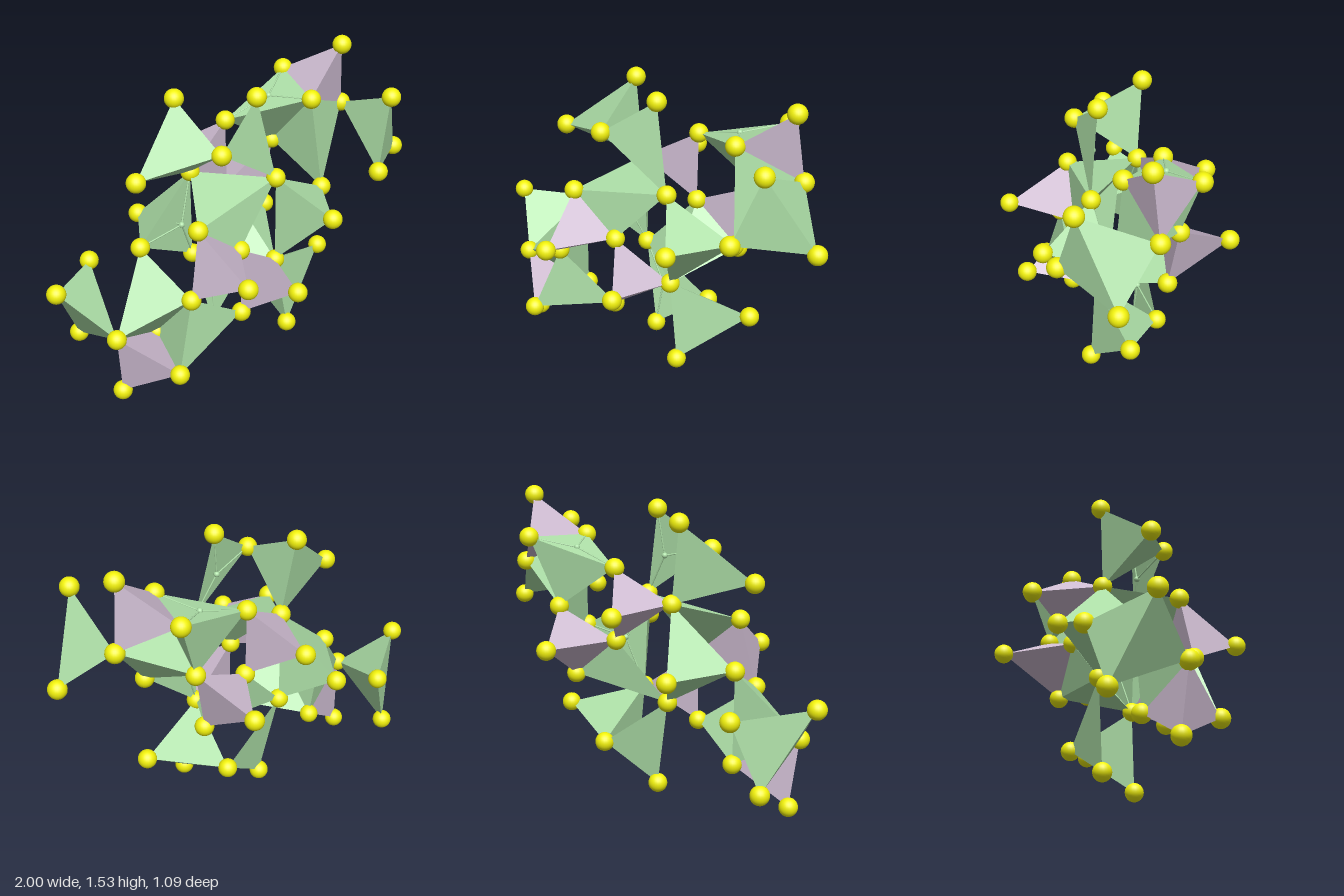
import * as THREE from 'three';
import { ConvexGeometry } from 'three/addons/geometries/ConvexGeometry.js';

// Half of the corner atoms; the other half follows by inversion through the centre
const CENTRE_Y = 0.772;
const ATOMS = {
  a1: [-0.22, 1.43, -0.175], a2: [0.06, 1.45, 0.1], a3: [-0.213, 1.26, 0.167],
  a4: [-0.556, 1.15, -0.043], a5: [-0.16, 1.027, -0.14], a6: [0.122, 1.19, -0.205],
  a7: [0.458, 1.297, 0.06], a8: [0.73, 1.49, -0.012], a9: [0.742, 1.32, 0.333],
  a10: [0.614, 0.972, 0.395], a11: [0.95, 0.917, 0.181], a12: [0.445, 0.97, -0.214],
  a13: [0.145, 1.005, 0.152], a14: [-0.37, 0.918, 0.18], a15: [0.122, 0.828, -0.195],
  a16: [0.29, 0.83, 0.412], a17: [0.495, 0.811, 0.117], a18: [-0.33, 0.733, 0.495],
  a19: [0.022, 0.54, 0.46], a20: [-0.77, 0.398, 0.041], a21: [-0.575, 0.228, 0.278],
};

// Corner names per polyhedron; "-" marks the inverted partner of an atom
const GREEN = [
  'a9 a10 a11 -a20', 'a1 a3 a4 a5', 'a2 a3 a13', 'a13 a16 a17 -a5',
  'a13 a14 a5 -a15', 'a6 a7 -a21 a12', 'a7 -a20 a12 a17',
];
const PURPLE = ['a8 a7 -a21 -a20', 'a15 a12 -a14 -a18', 'a15 a6 a5 -a19'];

// Small centre atoms that sit just outside a face, with their bonds
const CENTRES = [
  { at: [0.03, 1.212, 0.12], to: 'a2 a3 a13' },
  { at: [0.37, 1.265, -0.16], to: 'a6 a7 -a21 a12' },
  { at: [0.25, 0.77, 0.1], to: 'a13 a16 a17 -a5' },
];

const point = ([x, y, z], s) =>
  new THREE.Vector3(s * x, CENTRE_Y + s * (y - CENTRE_Y), s * z);

// Corner positions for a name list; s = -1 gives the inverted copy
const corners = (names, s) => names.split(' ').map((n) =>
  n[0] === '-' ? point(ATOMS[n.slice(1)], -s) : point(ATOMS[n], s));

function material(color) {
  return new THREE.MeshStandardMaterial({ color, flatShading: true, side: THREE.DoubleSide });
}

function polyhedron(pts, mat) {
  const geometry = pts.length > 3
    ? new ConvexGeometry(pts)
    : new THREE.BufferGeometry().setFromPoints(pts);
  geometry.computeVertexNormals();
  return new THREE.Mesh(geometry, mat);
}

function bond(a, b, mat) {
  const dir = b.clone().sub(a);
  const mesh = new THREE.Mesh(new THREE.CylinderGeometry(0.004, 0.004, dir.length(), 8), mat);
  mesh.position.copy(a).addScaledVector(dir, 0.5);
  mesh.quaternion.setFromUnitVectors(new THREE.Vector3(0, 1, 0), dir.normalize());
  mesh.name = 'bond';
  return mesh;
}

export function createModel() {
  const root = new THREE.Group();
  root.name = 'crystalCluster';
  const green = material(0xaee0a8);
  const purple = material(0xcdbbd0);
  const yellow = new THREE.MeshStandardMaterial({ color: 0xf2f20c });
  const smoothGreen = new THREE.MeshStandardMaterial({ color: 0xaee0a8 });
  const ball = new THREE.SphereGeometry(0.048, 24, 16);
  const smallBall = new THREE.SphereGeometry(0.015, 16, 12);

  for (const s of [1, -1]) {
    // Atoms on the corners
    for (const p of Object.values(ATOMS)) {
      const mesh = new THREE.Mesh(ball, yellow);
      mesh.position.copy(point(p, s));
      mesh.name = 'cornerAtom';
      root.add(mesh);
    }

    // Large green and small purple polyhedra
    for (const [list, mat, name] of [
      [GREEN, green, 'greenPolyhedron'], [PURPLE, purple, 'purpleTetrahedron'],
    ]) {
      for (const names of list) {
        const mesh = polyhedron(corners(names, s), mat);
        mesh.name = name;
        root.add(mesh);
      }
    }

    // Centre atoms and bonds
    for (const { at, to } of CENTRES) {
      const group = new THREE.Group();
      group.name = 'bondedCentre';
      const centre = new THREE.Mesh(smallBall, smoothGreen);
      centre.name = 'centreAtom';
      centre.position.copy(point(at, s));
      group.add(centre, ...corners(to, s).map((c) => bond(centre.position, c, smoothGreen)));
      root.add(group);
    }
  }
  return root;
}
